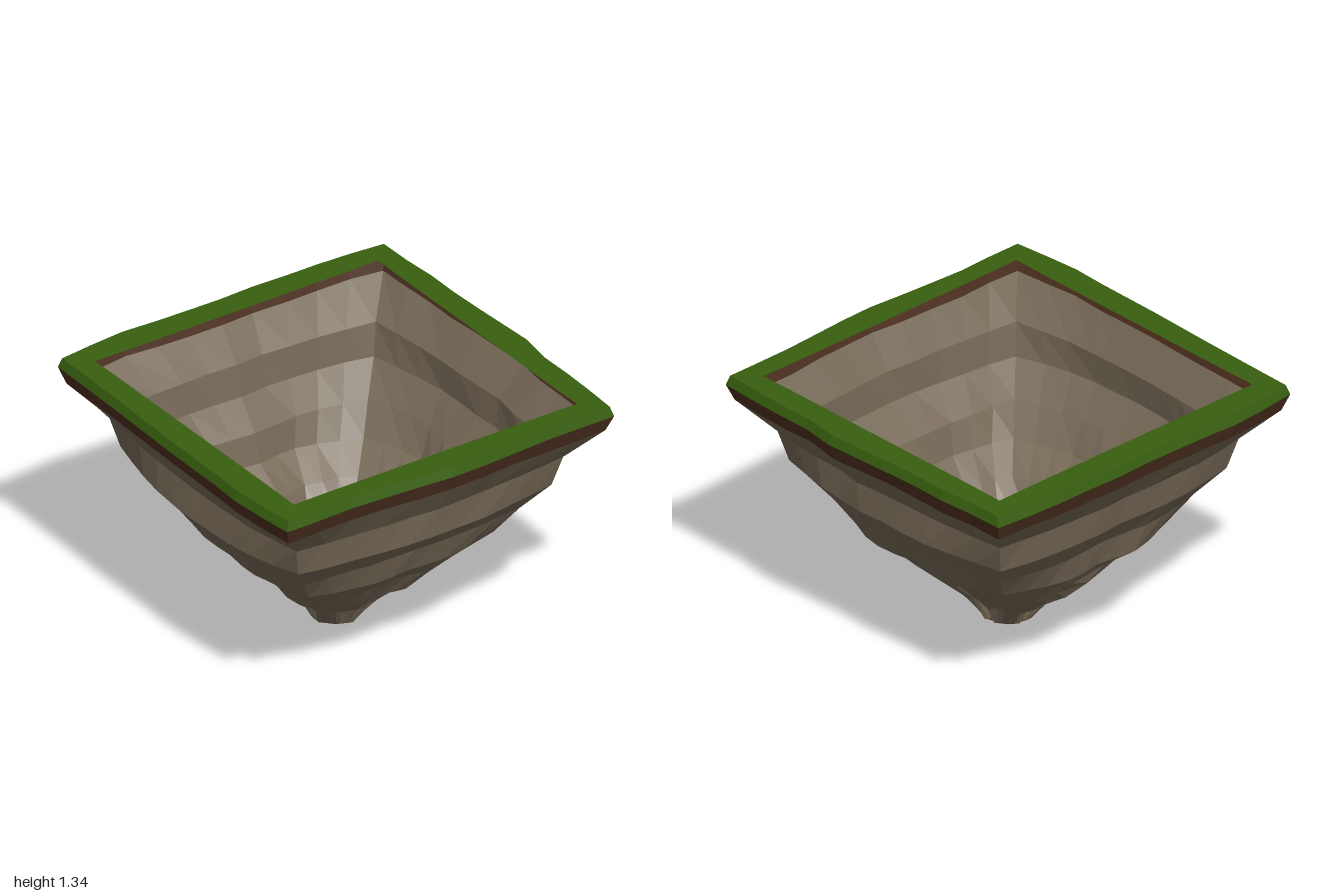
import * as THREE from 'three';

const PER_SIDE = 10;
const COLS = PER_SIDE * 4;

// How far the rim reaches at each column, starting at a corner, for each side in turn
const RIM = [
  [0.955, 0.958, 0.962, 0.966, 0.972, 0.978, 0.98, 0.982, 0.99, 0.975],
  [0.955, 0.955, 0.948, 0.958, 0.97, 0.985, 0.98, 0.968, 0.957, 0.955],
  [0.955, 0.965, 0.97, 0.968, 0.995, 0.985, 0.975, 0.968, 0.97, 0.957],
  [0.955, 0.972, 0.98, 0.98, 0.986, 0.978, 0.98, 0.985, 0.995, 0.978],
];

// Small repeatable noise in -1..1
function noise(a, b) {
  const s = Math.sin(a * 127.1 + b * 311.7 + 4.3) * 43758.5453;
  return (s - Math.floor(s)) * 2 - 1;
}

// A point on one of four sides (0 front, 1 +x, 2 back, 3 -x)
function sidePoint(side, along, out, y) {
  if (side === 0) return [along, y, out];
  if (side === 1) return [out, y, -along];
  if (side === 2) return [-along, y, -out];
  return [-out, y, along];
}

// Ring of columns; reach(side, k, u, i) gives the distance out from the centre
function makeRing(y, corner, reach, jag = 0, row = 0) {
  return Array.from({ length: COLS }, (_, i) => {
    const side = Math.floor(i / PER_SIDE);
    const k = i % PER_SIDE;
    const u = (k / PER_SIDE) * 2 - 1;
    const out = k === 0 ? corner : reach(side, k, u, i);
    return sidePoint(side, corner * u, out, y + jag * noise(i, row));
  });
}

// Rock ring: bulging sides with a narrow gully, echoing the rim's unevenness
function rockRing({ y, c, e, lobe, rough, jag = 0 }, row) {
  const gully = [0.3, 0.4, 1, 0.6];
  return makeRing(y, c, (side, k, u, i) => {
    const mid = 1 - u * u;
    const cut = lobe * gully[side] * Math.max(0, 1 - Math.abs(u) * 2.5);
    const echo = 0.5 * y * (RIM[side][k] - 0.955 - 0.022 * mid);
    return c + (e[side] - c) * mid - cut + echo + rough * noise(i, row + 2);
  }, jag, row + 30);
}

// Rim ring following the wavy outline, drawn in by an inset
const rimRing = (y, inset, jag = 0) =>
  makeRing(y, 0.955 - inset, (side, k) => RIM[side][k] - inset, jag, 50);

// Skin a list of rings, lowest first
function skin(rings) {
  const pos = [];
  for (let r = 0; r < rings.length - 1; r++) {
    for (let i = 0; i < COLS; i++) {
      const j = (i + 1) % COLS;
      const a = rings[r][i], b = rings[r][j];
      const d = rings[r + 1][i], f = rings[r + 1][j];
      pos.push(...a, ...b, ...f, ...a, ...f, ...d);
    }
  }
  const geo = new THREE.BufferGeometry();
  geo.setAttribute('position', new THREE.Float32BufferAttribute(pos, 3));
  geo.computeVertexNormals();
  return geo;
}

function material(name, color) {
  return new THREE.MeshStandardMaterial({ name, color, flatShading: true, side: THREE.DoubleSide });
}

export function createModel() {
  const group = new THREE.Group();
  group.name = 'floatingIsland';
  const add = (name, rings, mat) => {
    const mesh = new THREE.Mesh(skin(rings), mat);
    mesh.name = name;
    group.add(mesh);
  };

  // Rock levels from the tip upwards: corner half-width, reach of each side
  const levels = [
    { y: 0.01, c: 0, e: [0, 0, 0, 0], lobe: 0, rough: 0 },
    { y: 0.08, c: 0.08, e: [0.13, 0.12, 0.13, 0.13], lobe: 0.02, rough: 0.006, jag: 0.008 },
    { y: 0.19, c: 0.15, e: [0.18, 0.19, 0.18, 0.18], lobe: 0.05, rough: 0.015, jag: 0.025 },
    { y: 0.27, c: 0.24, e: [0.28, 0.29, 0.27, 0.3], lobe: 0.07, rough: 0.015, jag: 0.025 },
    { y: 0.36, c: 0.33, e: [0.38, 0.41, 0.37, 0.42], lobe: 0.08, rough: 0.012, jag: 0.012 },
    { y: 0.48, c: 0.43, e: [0.48, 0.5, 0.5, 0.51], lobe: 0.08, rough: 0.009 },
    { y: 0.6, c: 0.54, e: [0.64, 0.63, 0.67, 0.67], lobe: 0.06, rough: 0.007 },
    { y: 0.745, c: 0.63, e: [0.74, 0.68, 0.75, 0.7], lobe: 0.04, rough: 0.006 },
    { y: 0.89, c: 0.74, e: [0.86, 0.825, 0.84, 0.805], lobe: 0.02, rough: 0.005 },
    { y: 1.05, c: 0.78, e: [0.84, 0.84, 0.83, 0.83], lobe: 0, rough: 0.005 },
  ];
  const soilBottom = rimRing(1.215, 0.03, 0.005);
  const soilTop = rimRing(1.3, 0);
  const turfTop = rimRing(1.35, 0.015);
  const opening = makeRing(1.35, 0.828, () => 0.825);

  add('rockBody', [...levels.map(rockRing), soilBottom], material('rock', 0x756856));
  add('soilBand', [soilBottom, soilTop], material('soil', 0x4c2f1f));
  add('grassRim', [soilTop, turfTop, opening], material('grass', 0x375f0f));
  return group;
}
